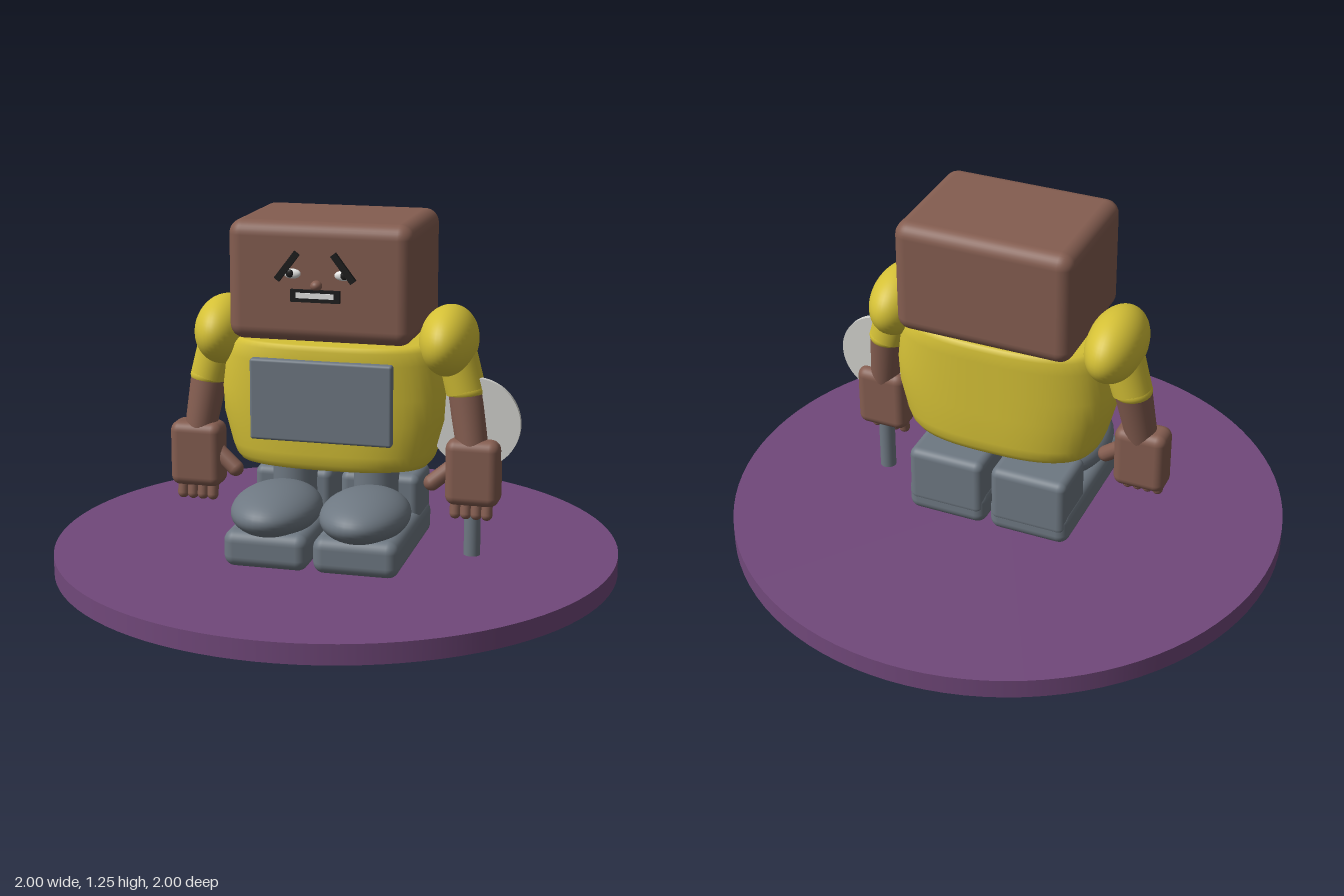
import * as THREE from 'three';
import { mergeVertices } from 'three/addons/utils/BufferGeometryUtils.js';
import { RoundedBoxGeometry } from 'three/addons/geometries/RoundedBoxGeometry.js';

const paint = (name, color) => {
  const m = new THREE.MeshStandardMaterial({ color });
  m.name = name;
  return m;
};

export function createModel() {
  const purple = paint('basePurple', 0x71487a);
  const brown = paint('skinBrown', 0x845d50);
  const yellow = paint('shirtYellow', 0xd4c036);
  const grey = paint('slateGrey', 0x6e7882);
  const black = paint('faceBlack', 0x1c1c1c);
  const white = paint('eyeWhite', 0xf0f0ee);
  const silver = paint('discSilver', 0xd2d2cd);

  const model = new THREE.Group();
  model.name = 'figureOnBase';

  const add = (name, geometry, material, x = 0, y = 0, z = 0, parent = model) => {
    const mesh = new THREE.Mesh(geometry, material);
    mesh.name = name;
    mesh.position.set(x, y, z);
    parent.add(mesh);
    return mesh;
  };
  const box = (w, h, d, r) => new RoundedBoxGeometry(w, h, d, 4, r);
  const ellipsoid = (rx, ry, rz) => new THREE.SphereGeometry(1, 40, 28).scale(rx, ry, rz);

  // Tapered limb between two points
  const limb = (name, a, b, ra, rb, material, parent = model) => {
    const from = new THREE.Vector3(...a), to = new THREE.Vector3(...b);
    const dir = to.clone().sub(from);
    const mesh = add(name, new THREE.CylinderGeometry(rb, ra, dir.length(), 28), material, 0, 0, 0, parent);
    mesh.position.copy(from).add(to).multiplyScalar(0.5);
    mesh.quaternion.setFromUnitVectors(new THREE.Vector3(0, 1, 0), dir.normalize());
    return mesh;
  };
  const capsule = (name, a, b, r, material, parent) => {
    const from = new THREE.Vector3(...a), to = new THREE.Vector3(...b);
    const dir = to.clone().sub(from);
    const mesh = add(name, new THREE.CapsuleGeometry(r, dir.length(), 8, 16), material, 0, 0, 0, parent);
    mesh.position.copy(from).add(to).multiplyScalar(0.5);
    mesh.quaternion.setFromUnitVectors(new THREE.Vector3(0, 1, 0), dir.normalize());
  };

  // Round base
  add('base', new THREE.CylinderGeometry(1, 1, 0.07, 96), purple, 0, 0.035, 0);

  // Barrel torso: a lathe squared off and flattened front to back
  const profile = [[0, 0.38], [0.31, 0.38], [0.335, 0.385], [0.352, 0.405], [0.365, 0.44], [0.395, 0.55],
    [0.4, 0.64], [0.385, 0.76], [0.37, 0.805], [0.35, 0.82], [0.33, 0.823], [0, 0.823]];
  let torso = new THREE.LatheGeometry(profile.map(p => new THREE.Vector2(...p)), 72);
  const pos = torso.attributes.position;
  for (let i = 0; i < pos.count; i++) {
    const x = pos.getX(i), z = pos.getZ(i), r = Math.hypot(x, z);
    if (r < 1e-6) continue;
    const k = 1 / Math.pow(Math.pow(Math.abs(x / r), 2.7) + Math.pow(Math.abs(z / r), 2.7), 1 / 2.7);
    pos.setX(i, x * k);
    pos.setZ(i, (z / r) * k * 0.2 * Math.min(1, r / 0.365));
  }
  torso.deleteAttribute('uv');
  torso.deleteAttribute('normal');
  torso = mergeVertices(torso, 1e-4);
  torso.computeVertexNormals();
  add('torso', torso, yellow);
  add('chestPanel', box(0.5, 0.285, 0.035, 0.01), grey, 0, 0.632, 0.203);

  // Neck and head
  add('neck', new THREE.CylinderGeometry(0.08, 0.08, 0.08, 32), brown, 0, 0.84, 0);
  add('head', box(0.64, 0.41, 0.485, 0.05), brown, 0, 1.047, 0);

  // Face
  const face = new THREE.Group();
  face.name = 'face';
  model.add(face);
  add('nose', ellipsoid(0.02, 0.018, 0.022), brown, 0, 1.045, 0.262, face);
  add('mouth', new THREE.BoxGeometry(0.17, 0.042, 0.012), black, 0, 1.012, 0.274, face);
  add('teeth', new THREE.BoxGeometry(0.13, 0.018, 0.006), white, 0, 1.014, 0.281, face);

  for (const s of [1, -1]) {
    const side = s > 0 ? 'left' : 'right';
    const brow = add(side + 'Eyebrow', new THREE.BoxGeometry(0.115, 0.022, 0.014), black, s * 0.097, 1.11, 0.278, face);
    brow.rotation.z = -s * 0.92;
    add(side + 'Eye', ellipsoid(0.03, 0.017, 0.012), white, s * 0.088, 1.08, 0.245, face);
    add(side + 'Pupil', ellipsoid(0.013, 0.014, 0.006), black, s * 0.094, 1.082, 0.255, face);

    // Arm: shoulder, sleeve, forearm
    const arm = new THREE.Group();
    arm.name = side + 'Arm';
    model.add(arm);
    add('shoulder', ellipsoid(0.1, 0.122, 0.18), yellow, s * 0.402, 0.828, 0, arm);
    limb('sleeve', [s * 0.42, 0.8, 0], [s * 0.462, 0.655, 0], 0.075, 0.07, yellow, arm);
    add('sleeveCuff', ellipsoid(0.07, 0.045, 0.07), yellow, s * 0.463, 0.658, 0, arm);
    limb('forearm', [s * 0.465, 0.655, 0], [s * 0.497, 0.44, 0.03], 0.066, 0.055, brown, arm);

    // Hand with fingers and thumb
    add('hand', box(0.19, 0.235, 0.115, 0.035), brown, s * 0.5, 0.375, 0.03, arm);
    for (let i = 0; i < 4; i++) {
      const x = s * (0.442 + i * 0.037);
      capsule('finger', [x, 0.29, 0.045], [x, 0.228, 0.055], 0.02, brown, arm);
    }
    capsule('thumb', [s * 0.43, 0.39, 0.035], [s * 0.357, 0.33, 0.05], 0.029, brown, arm);

    // Leg and shoe
    const leg = new THREE.Group();
    leg.name = side + 'Leg';
    model.add(leg);
    add('shin', new THREE.CylinderGeometry(0.08, 0.08, 0.24, 28), grey, s * 0.148, 0.3, 0, leg);
    add('sole', box(0.3, 0.13, 0.58, 0.04), grey, s * 0.158, 0.135, 0.085, leg);
    add('heel', box(0.285, 0.22, 0.21, 0.03), grey, s * 0.158, 0.222, -0.102, leg);
    add('toeCap', ellipsoid(0.154, 0.085, 0.22), grey, s * 0.158, 0.245, 0.205, leg);
  }

  // Held paddle: rod through the left hand and an upright disc
  const paddle = new THREE.Group();
  paddle.name = 'paddle';
  model.add(paddle);
  add('rod', new THREE.CylinderGeometry(0.029, 0.029, 0.33, 24), grey, 0.497, 0.235, 0.02, paddle);
  const disc = add('disc', new THREE.CylinderGeometry(0.16, 0.16, 0.02, 64), silver, 0.5, 0.547, 0.02, paddle);
  disc.rotation.x = Math.PI / 2;

  return model;
}
